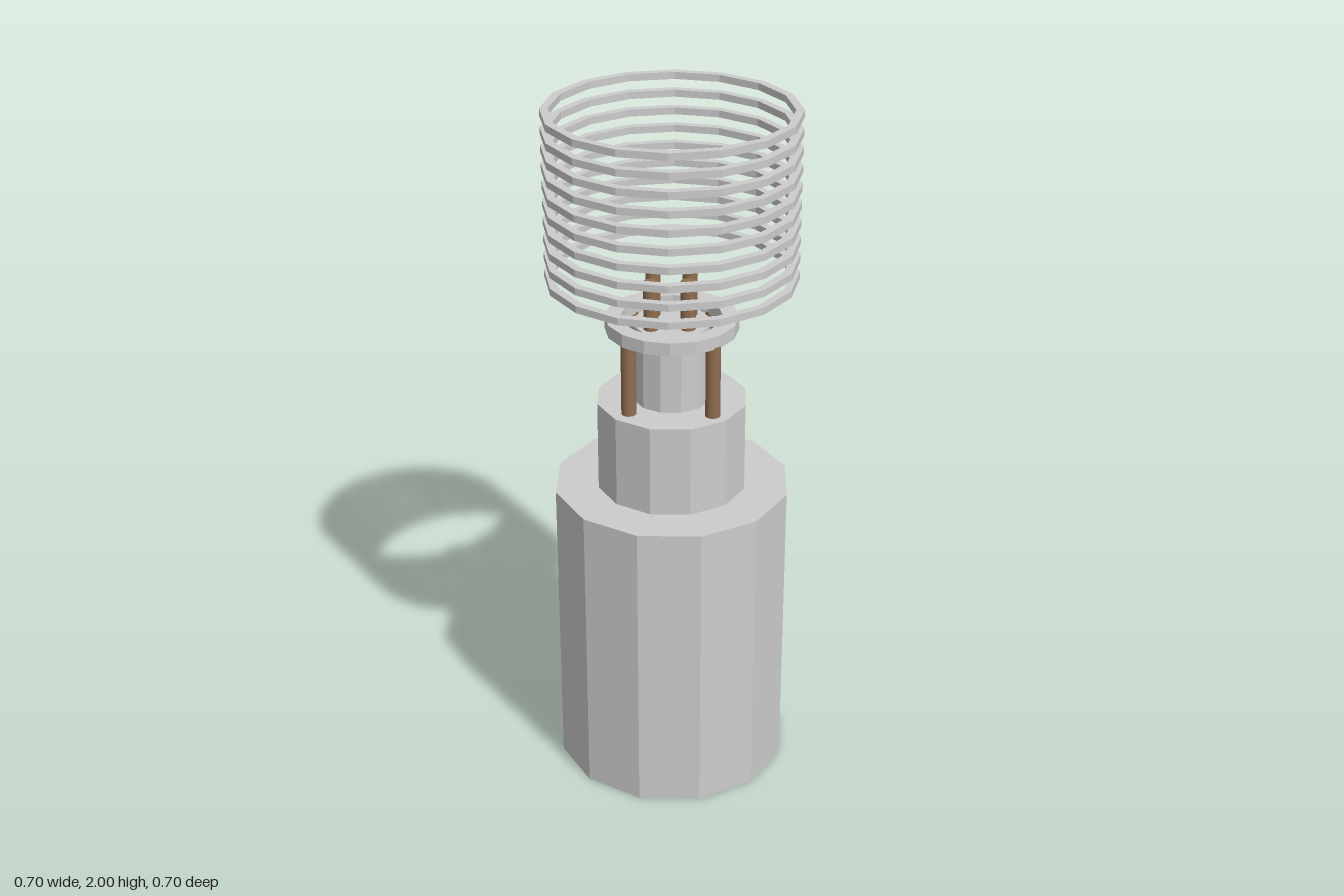
import * as THREE from 'three';

const grey = new THREE.MeshStandardMaterial({ color: 0xcccccc, flatShading: true });
const copper = new THREE.MeshStandardMaterial({ color: 0x8f6e50 });

// Upright cylinder between two heights
function post(name, radius, y0, y1, sides, material, x = 0, z = 0) {
  const mesh = new THREE.Mesh(new THREE.CylinderGeometry(radius, radius, y1 - y0, sides), material);
  mesh.position.set(x, (y0 + y1) / 2, z);
  mesh.name = name;
  return mesh;
}

// Flat square-section ring with 16 sides, its base at height y
function ring(name, inner, outer, y, height) {
  const profile = [[inner, 0], [outer, 0], [outer, height], [inner, height], [inner, 0]]
    .map(([r, h]) => new THREE.Vector2(r, h));
  const mesh = new THREE.Mesh(new THREE.LatheGeometry(profile, 16), grey);
  mesh.position.y = y;
  mesh.name = name;
  return mesh;
}

export function createModel() {
  const model = new THREE.Group();
  model.name = 'coilDevice';

  // Stepped twelve-sided body
  model.add(post('body', 0.34, 0, 0.893, 12, grey));
  model.add(post('neck', 0.215, 0.893, 1.16, 12, grey));
  model.add(post('column', 0.11, 1.16, 1.39, 12, grey));

  // Collar held around the column by four outer rods
  model.add(ring('collar', 0.142, 0.187, 1.37, 0.038));
  const outerRods = [[-0.162, -0.003], [0.161, -0.003], [-0.003, -0.162], [-0.003, 0.167]];
  for (const [x, z] of outerRods) model.add(post('outerRod', 0.021, 1.16, 1.375, 24, copper, x, z));

  // Four inner rods on top of the column
  const innerRods = [[-0.075, -0.004], [0.073, -0.003], [-0.003, -0.072], [0, 0.065]];
  for (const [x, z] of innerRods) model.add(post('innerRod', 0.021, 1.38, 1.53, 24, copper, x, z));

  // Stack of ten separate coil rings
  const coil = new THREE.Group();
  coil.name = 'coil';
  for (let i = 0; i < 10; i++) coil.add(ring('coilRing', 0.327, 0.35, 1.522 + i * 0.0509, 0.02));
  model.add(coil);

  return model;
}
